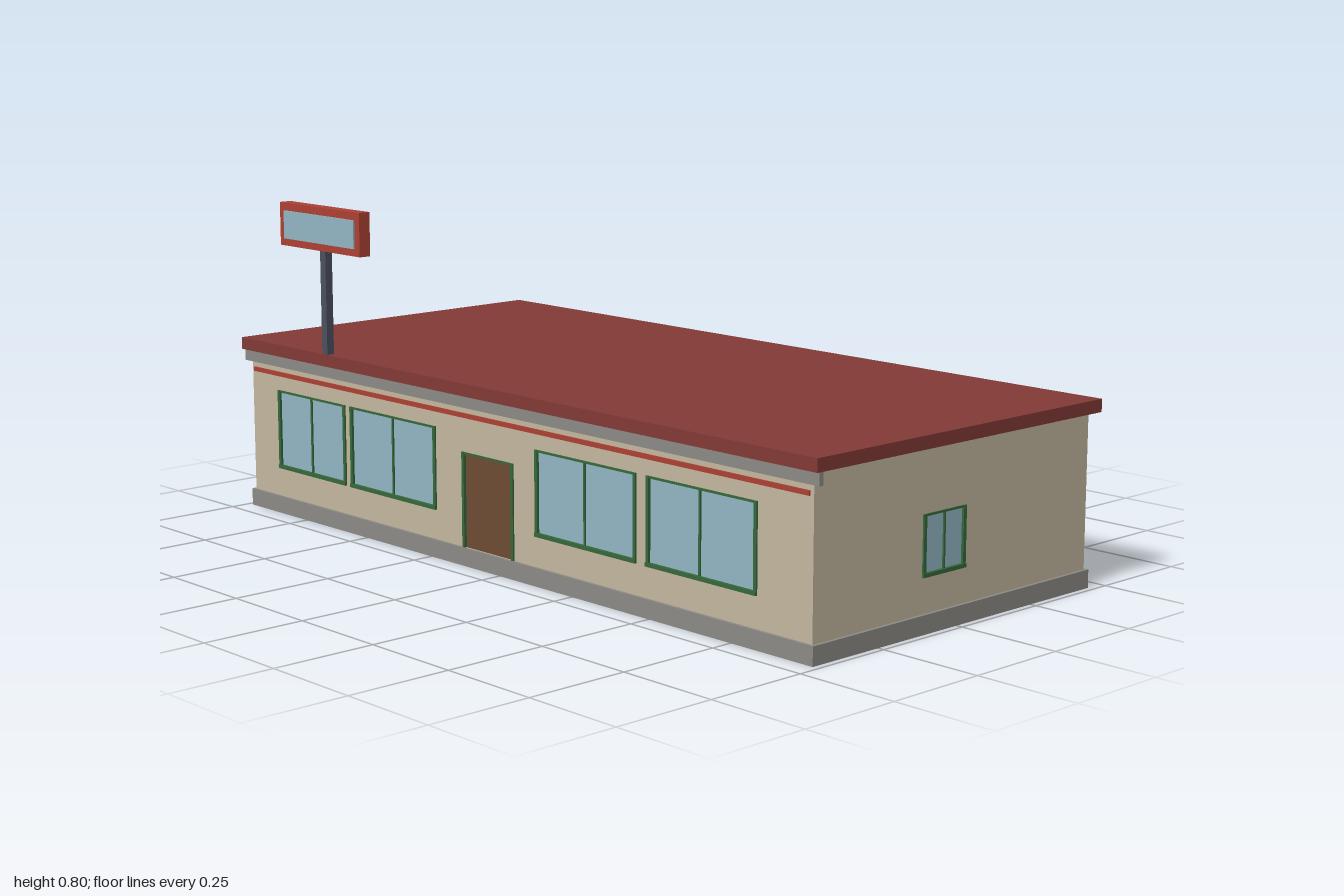
import * as THREE from 'three';

const mat = (name, color, side = THREE.FrontSide) => {
  const m = new THREE.MeshStandardMaterial({ color, side });
  m.name = name;
  return m;
};

export function createModel() {
  const wallMat = mat('beige wall', 0xc2b79f);
  const roofMat = mat('dark red roof', 0x823a35);
  const redMat = mat('sign red', 0xad4135);
  const stoneMat = mat('grey concrete', 0x8b8a85);
  const glassMat = mat('blue glass', 0x92b5c4, THREE.DoubleSide);
  const greenMat = mat('green frame', 0x35683a);
  const doorMat = mat('brown door', 0x6c4b34);
  const steelMat = mat('slate steel', 0x4b505d);

  const model = new THREE.Group();
  model.name = 'roadsideBuilding';

  // Box given by its minimum and maximum corners
  const box = (parent, name, m, [x0, y0, z0], [x1, y1, z1]) => {
    const mesh = new THREE.Mesh(new THREE.BoxGeometry(x1 - x0, y1 - y0, z1 - z0), m);
    mesh.position.set((x0 + x1) / 2, (y0 + y1) / 2, (z0 + z1) / 2);
    mesh.name = name;
    parent.add(mesh);
    return mesh;
  };

  const T = 0.018; // wall thickness
  const FLOOR = 0.043, WALL_TOP = 0.405;
  const FRONT = 0.441, BACK = -0.448, SIDE = 0.977;

  // Window: recessed glass, raised frame and optional mullion
  const addWindow = (wall, { u0, u1, y0, y1, mullion }) => {
    const g = new THREE.Group();
    g.name = 'window';
    const w = 0.009, zIn = -0.008, zOut = 0.004;
    box(g, 'glass', glassMat, [u0, y0, -0.007], [u1, y1, -0.002]);
    box(g, 'leftJamb', greenMat, [u0, y0, zIn], [u0 + w, y1, zOut]);
    box(g, 'rightJamb', greenMat, [u1 - w, y0, zIn], [u1, y1, zOut]);
    box(g, 'sill', greenMat, [u0, y0, zIn], [u1, y0 + w, zOut + 0.002]);
    box(g, 'head', greenMat, [u0, y1 - 0.005, zIn], [u1, y1, zOut - 0.001]);
    if (mullion !== undefined)
      box(g, 'mullion', greenMat, [mullion - 0.0025, y0, zIn], [mullion + 0.0025, y1, zOut - 0.002]);
    wall.add(g);
  };

  // Door: recessed leaf with green jambs and head
  const addDoor = (wall, { u0, u1, y0, y1 }) => {
    const g = new THREE.Group();
    g.name = 'door';
    const w = 0.008;
    box(g, 'doorLeaf', doorMat, [u0, y0, -0.012], [u1, y1, -0.003]);
    box(g, 'leftJamb', greenMat, [u0, y0, -0.012], [u0 + w, y1, 0.004]);
    box(g, 'rightJamb', greenMat, [u1 - w, y0, -0.012], [u1, y1, 0.004]);
    box(g, 'head', greenMat, [u0, y1 - 0.005, -0.012], [u1, y1, 0.002]);
    wall.add(g);
  };

  // Wall panel with cut openings; its outer face is the local z = 0 plane
  const addWall = (name, u0, u1, position, turn, windows, doors = []) => {
    const shape = new THREE.Shape();
    shape.moveTo(u0, FLOOR - 0.005).lineTo(u1, FLOOR - 0.005).lineTo(u1, WALL_TOP).lineTo(u0, WALL_TOP).closePath();
    for (const o of [...windows, ...doors]) {
      const hole = new THREE.Path();
      hole.moveTo(o.u0, o.y0).lineTo(o.u0, o.y1).lineTo(o.u1, o.y1).lineTo(o.u1, o.y0).closePath();
      shape.holes.push(hole);
    }
    const group = new THREE.Group();
    group.name = name;
    const panel = new THREE.Mesh(
      new THREE.ExtrudeGeometry(shape, { depth: T, bevelEnabled: false }).translate(0, 0, -T), wallMat);
    panel.name = name + 'Panel';
    group.add(panel);
    windows.forEach((o) => addWindow(group, o));
    doors.forEach((o) => addDoor(group, o));
    group.position.set(...position);
    group.rotation.y = turn;
    model.add(group);
  };

  const big = (u0, u1, mullion) => ({ u0, u1, mullion, y0: 0.115, y1: 0.315 });
  const small = (u0, u1, mullion) => ({ u0, u1, mullion, y0: 0.123, y1: 0.26 });
  const door = (u0, u1) => ({ u0, u1, y0: FLOOR, y1: 0.27 });

  addWall('frontWall', -SIDE + T, SIDE - T, [0, 0, FRONT], 0, [
    big(-0.867, -0.587, -0.728), big(-0.567, -0.235, -0.4),
    big(0.122, 0.455, 0.287), big(0.487, 0.82, 0.65),
  ], [door(-0.137, 0.046)]);
  addWall('backWall', -SIDE + T, SIDE - T, [0, 0, BACK], Math.PI,
    [small(-0.113, 0.005)], [door(-0.652, -0.512)]);
  addWall('leftWall', -FRONT + T, -BACK - T, [SIDE, 0, 0], Math.PI / 2, [small(-0.107, 0.03, -0.038)]);
  addWall('rightWall', BACK + T, FRONT - T, [-SIDE, 0, 0], -Math.PI / 2, [small(-0.115, 0.02, -0.047)]);

  // Corner posts
  for (const s of [-1, 1]) {
    for (const z of [FRONT - T, BACK]) {
      const post = box(model, 'cornerPost', wallMat,
        [-T / 2, FLOOR - 0.005, z], [T / 2, WALL_TOP, z + T]);
      post.position.x = s * (SIDE - T / 2);
    }
  }

  // Plinth, roof slab and front trim
  box(model, 'plinth', stoneMat, [-0.985, 0, -0.455], [0.985, FLOOR, 0.448]);
  box(model, 'roof', roofMat, [-1, WALL_TOP, -0.465], [1, 0.435, 0.457]);
  box(model, 'frontFascia', stoneMat, [-0.998, 0.376, 0.437], [0.998, WALL_TOP, 0.449]);
  box(model, 'redStripe', redMat, [-0.967, 0.351, 0.439], [0.967, 0.362, 0.445]);

  // Roof sign on a steel post
  const sign = new THREE.Group();
  sign.name = 'roofSign';
  box(sign, 'signPost', steelMat, [-0.656, 0.43, 0.437], [-0.635, 0.695, 0.4568]);
  box(sign, 'signBoard', redMat, [-0.81, 0.69, 0.432], [-0.488, 0.796, 0.463]);
  box(sign, 'signPanel', glassMat, [-0.79, 0.708, 0.462], [-0.507, 0.777, 0.467]);
  model.add(sign);

  return model;
}
